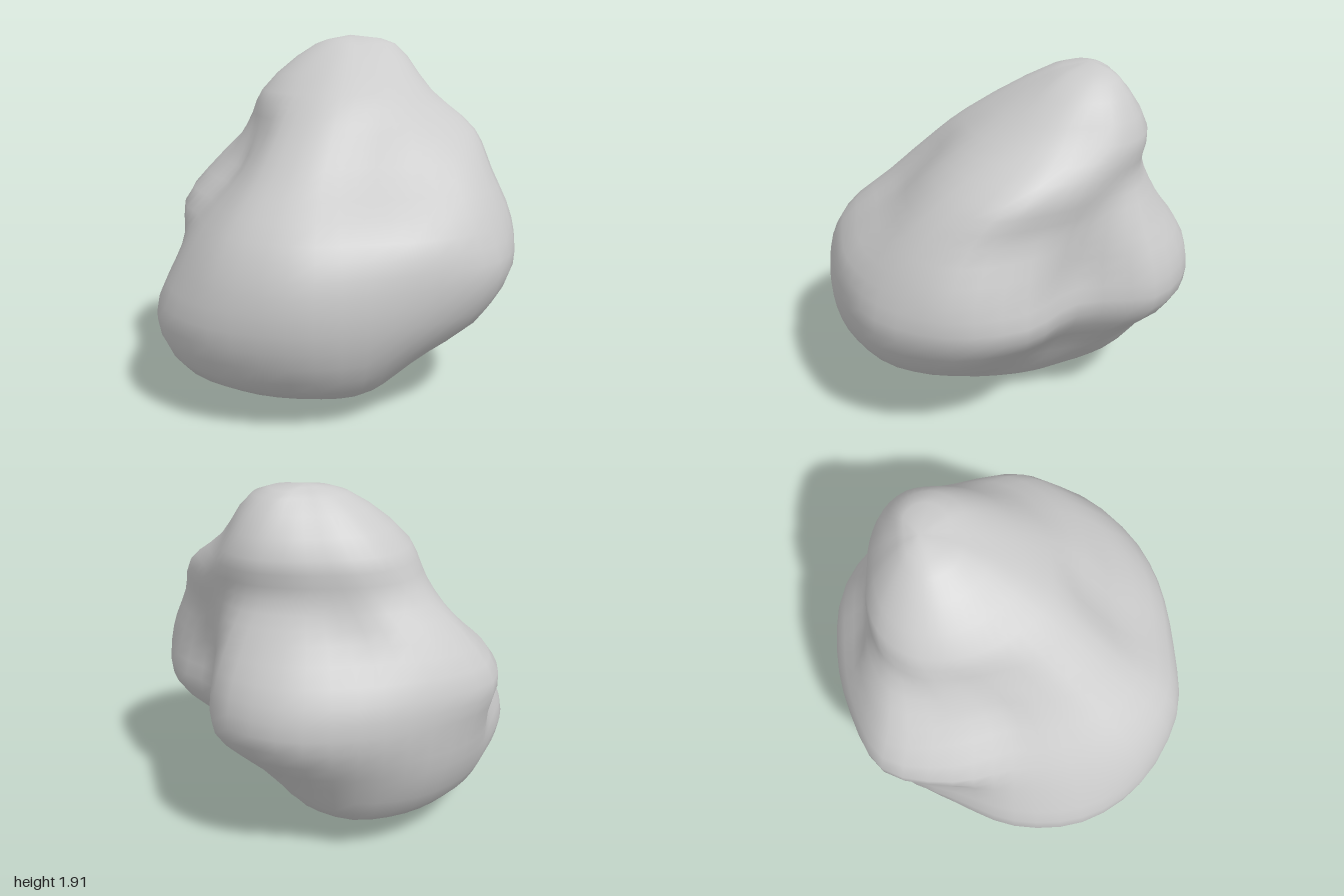
import * as THREE from 'three';
import { mergeVertices } from 'three/addons/utils/BufferGeometryUtils.js';

// Cross-sections from bottom to top: a height each, and 16 radii
// every 22.5 degrees, turning from +x towards +z.
const HEIGHTS = [0.06, 0.2, 0.45, 0.72, 0.95, 1.2, 1.4, 1.6, 1.86];
const RADII = [
  [0.22, 0.24, 0.3, 0.42, 0.54, 0.55, 0.48, 0.4, 0.3, 0.28, 0.27, 0.28, 0.32, 0.3, 0.26, 0.23],
  [0.36, 0.42, 0.5, 0.66, 0.82, 0.88, 0.92, 0.9, 0.82, 0.76, 0.74, 0.74, 0.72, 0.6, 0.45, 0.38],
  [0.62, 0.8, 0.9, 0.91, 0.95, 1.02, 1.05, 1.03, 0.96, 0.88, 0.9, 0.9, 0.87, 0.82, 0.7, 0.56],
  [0.91, 1.01, 1.04, 0.98, 0.97, 1.03, 1.01, 0.93, 0.86, 0.84, 0.96, 0.96, 0.98, 1.02, 0.97, 0.76],
  [0.88, 1.0, 0.98, 0.93, 0.89, 0.93, 0.88, 0.78, 0.74, 0.86, 1.0, 0.96, 0.96, 1.0, 0.96, 0.74],
  [0.76, 0.88, 0.86, 0.72, 0.65, 0.72, 0.68, 0.58, 0.53, 0.63, 0.82, 0.79, 0.73, 0.78, 0.8, 0.7],
  [0.66, 0.76, 0.74, 0.66, 0.59, 0.65, 0.6, 0.51, 0.5, 0.56, 0.6, 0.57, 0.53, 0.54, 0.58, 0.6],
  [0.46, 0.49, 0.52, 0.54, 0.54, 0.56, 0.52, 0.5, 0.5, 0.5, 0.47, 0.42, 0.39, 0.41, 0.45, 0.47],
  [0.26, 0.25, 0.23, 0.19, 0.17, 0.18, 0.19, 0.2, 0.21, 0.2, 0.18, 0.16, 0.15, 0.17, 0.22, 0.25],
];
const BOTTOM = new THREE.Vector3(0, 0, -0.1);
const TOP = new THREE.Vector3(0.2, 1.91, -0.42);
const SPOKES = 16, AROUND = 48, UP = 30;

// The upper sections lean back and to the side
function sectionPoint(level, spoke) {
  const y = HEIGHTS[level], r = RADII[level][spoke];
  const lean = THREE.MathUtils.smoothstep(y, 1, 1.8);
  const a = (spoke / SPOKES) * Math.PI * 2;
  return new THREE.Vector3(0.2 * lean + r * Math.cos(a), y, -0.38 * lean + r * Math.sin(a));
}

function rockGeometry() {
  // Smooth meridian curves from the underside to the peak
  const meridians = [];
  for (let k = 0; k < SPOKES; k++) {
    const points = HEIGHTS.map((_, level) => sectionPoint(level, k));
    meridians.push(new THREE.CatmullRomCurve3([BOTTOM, ...points, TOP]));
  }
  // Closed rings across the meridians, with a single vertex at each pole
  const positions = [], index = [];
  for (let i = 0; i <= UP; i++) {
    const pole = i === 0 ? BOTTOM : i === UP ? TOP : null;
    const ring = pole ? null
      : new THREE.CatmullRomCurve3(meridians.map((m) => m.getPoint(i / UP)), true);
    for (let j = 0; j < AROUND; j++) {
      const p = pole || ring.getPoint(j / AROUND);
      positions.push(p.x, Math.max(0, p.y), p.z);
    }
  }
  for (let i = 0; i < UP; i++) {
    for (let j = 0; j < AROUND; j++) {
      const a = i * AROUND + j, b = i * AROUND + (j + 1) % AROUND;
      const c = a + AROUND, d = b + AROUND;
      if (i > 0) index.push(a, c, b);
      if (i < UP - 1) index.push(b, c, d);
    }
  }
  let geometry = new THREE.BufferGeometry();
  geometry.setAttribute('position', new THREE.Float32BufferAttribute(positions, 3));
  geometry.setIndex(index);
  geometry = mergeVertices(geometry);
  geometry.computeVertexNormals();
  return geometry;
}

export function createModel() {
  const group = new THREE.Group();
  group.name = 'boulder';
  const rock = new THREE.Mesh(rockGeometry(), new THREE.MeshStandardMaterial({ color: 0xcccccc }));
  rock.name = 'rock';
  group.add(rock);
  return group;
}
